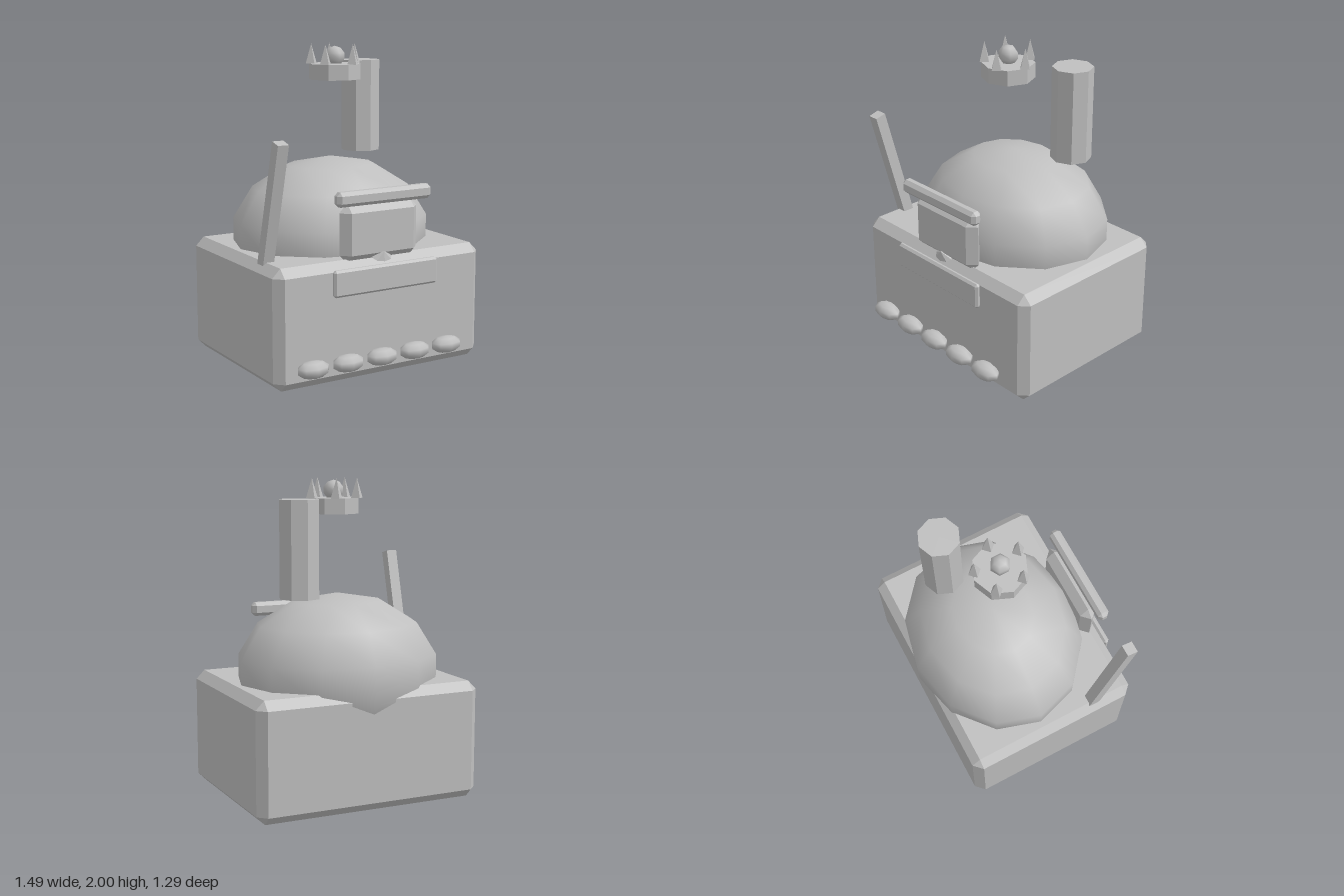
import * as THREE from 'three';
import { ConvexGeometry } from 'three/addons/geometries/ConvexGeometry.js';

// Box with all edges cut at 45 degrees by c
function chamferBox(w, h, d, c) {
  const pts = [];
  const [x, y, z] = [w / 2, h / 2, d / 2];
  for (const i of [-1, 1]) for (const j of [-1, 1]) for (const k of [-1, 1]) {
    pts.push(
      new THREE.Vector3(i * x, j * (y - c), k * (z - c)),
      new THREE.Vector3(i * (x - c), j * y, k * (z - c)),
      new THREE.Vector3(i * (x - c), j * (y - c), k * z));
  }
  return new ConvexGeometry(pts);
}

export function createModel() {
  const model = new THREE.Group();
  model.name = 'model';
  const smooth = new THREE.MeshStandardMaterial({ color: 0xbfbfbf });
  smooth.name = 'grey';
  const flat = new THREE.MeshStandardMaterial({ color: 0xbfbfbf, flatShading: true });
  flat.name = 'grey faceted';

  function add(name, geometry, material, x, y, z, parent = model) {
    const mesh = new THREE.Mesh(geometry, material);
    mesh.name = name;
    mesh.position.set(x, y, z);
    parent.add(mesh);
    return mesh;
  }

  // Body and dome
  add('body', chamferBox(1.485, 0.745, 1.15, 0.055), flat, 0, 0.3725, -0.037);
  add('dome', new THREE.SphereGeometry(1, 12, 7), smooth, 0, 0.78, -0.095).scale.set(0.667, 0.505, 0.564);

  // Face
  add('facePanel', chamferBox(0.555, 0.365, 0.11, 0.054), flat, 0, 0.898, 0.47);
  add('brow', chamferBox(0.67, 0.09, 0.075, 0.022), flat, 0, 1.12, 0.523);
  add('mouthPlate', chamferBox(0.745, 0.165, 0.04, 0.014), flat, 0, 0.623, 0.557);
  const nose = add('nose', new THREE.ConeGeometry(0.07, 0.045, 8).translate(0, 0.0225, 0), flat, 0, 0.74, 0.51);
  nose.scale.z = 0.6;
  nose.rotation.x = 0.6;

  // Row of toes
  const toeGeometry = new THREE.SphereGeometry(1, 8, 5);
  const toes = new THREE.Group();
  toes.name = 'toes';
  model.add(toes);
  for (let i = 0; i < 5; i++) {
    add('toe', toeGeometry, smooth, -0.522 + i * 0.242, 0.133, 0.576, toes).scale.set(0.111, 0.054, 0.069);
  }

  // Leaning lever and chimney
  add('lever', new THREE.BoxGeometry(0.072, 0.8, 0.072), flat, -0.67, 1.087, 0.366).rotation.x = Math.PI / 12;
  add('chimney', new THREE.CylinderGeometry(0.128, 0.128, 0.595, 8), flat, 0.333, 1.5825, -0.262);

  // Crown with spikes and a jewel
  const crown = new THREE.Group();
  crown.name = 'crown';
  crown.position.set(0, 0, -0.04);
  model.add(crown);
  add('crownBand', new THREE.CylinderGeometry(0.166, 0.166, 0.097, 8), flat, 0, 1.827, 0, crown);
  const spikeGeometry = new THREE.ConeGeometry(0.04, 0.125, 4);
  for (let i = 0; i < 5; i++) {
    const a = i * Math.PI * 2 / 5;
    add('crownSpike', spikeGeometry, flat, Math.cos(a) * 0.148, 1.9375, Math.sin(a) * 0.148, crown);
  }
  add('jewel', new THREE.SphereGeometry(0.064, 6, 5), smooth, 0, 1.922, 0, crown).rotation.y = Math.PI / 6;

  return model;
}
